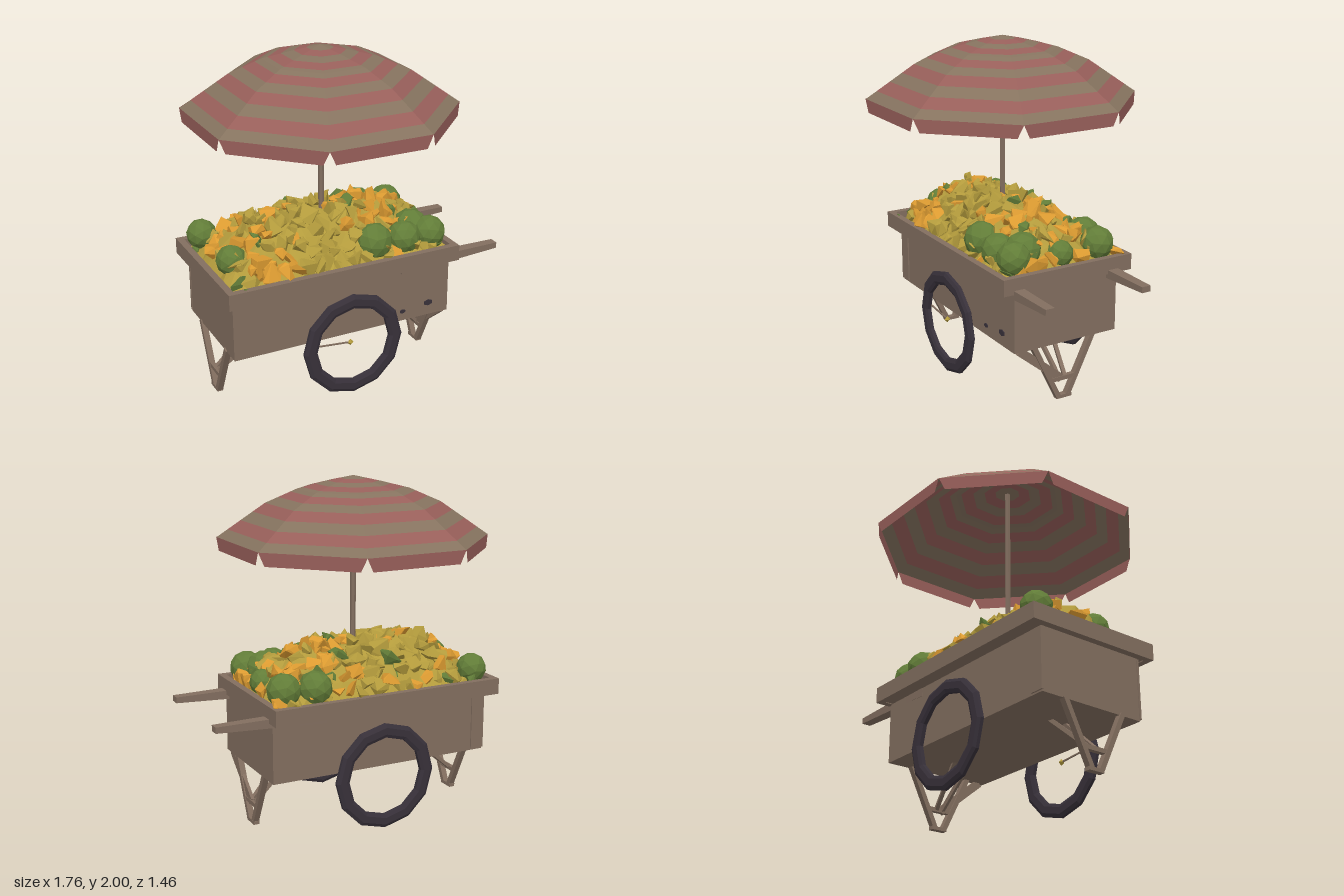
import * as THREE from 'three';
import { mergeGeometries } from 'three/addons/utils/BufferGeometryUtils.js';
import { ConvexGeometry } from 'three/addons/geometries/ConvexGeometry.js';

function paint(name, color) {
  const m = new THREE.MeshStandardMaterial({ color, flatShading: true, side: THREE.DoubleSide });
  m.name = name;
  return m;
}

export function createModel() {
  const cart = new THREE.Group();
  cart.name = 'fruitCart';
  const wood = paint('wood', 0x826e5f);
  const canvas = paint('canopyTan', 0x86735f);
  const red = paint('canopyRed', 0x985f5a);
  const rubber = paint('wheelDark', 0x38313a);
  const yellow = paint('fruitYellow', 0xb39b3c);
  const orange = paint('fruitOrange', 0xdc9b31);
  const green = paint('melonGreen', 0x627d38);

  let seed = 7;
  const rand = () => {
    seed = (seed * 16807) % 2147483647;
    return seed / 2147483647;
  };
  const range = (a, b) => a + (b - a) * rand();

  function add(name, geo, mat, x = 0, y = 0, z = 0) {
    const mesh = new THREE.Mesh(geo, mat);
    mesh.name = name;
    mesh.position.set(x, y, z);
    cart.add(mesh);
    return mesh;
  }
  // Box given by its minimum and maximum corners
  function box(name, a, b, mat = wood) {
    const s = b.map((v, i) => v - a[i]);
    return add(name, new THREE.BoxGeometry(...s), mat, ...a.map((v, i) => v + s[i] / 2));
  }
  // Square bar between two points
  function strut(name, a, b, w, d = w) {
    const p = new THREE.Vector3(...a), q = new THREE.Vector3(...b);
    const dir = q.clone().sub(p);
    const mesh = add(name, new THREE.BoxGeometry(w, dir.length(), d), wood);
    mesh.position.copy(p).lerp(q, 0.5);
    mesh.quaternion.setFromUnitVectors(new THREE.Vector3(0, 1, 0), dir.normalize());
  }

  // Body and tray
  box('body', [-0.83, 0.35, -0.35], [0.55, 0.73, 0.33]);
  box('trayFloor', [-0.87, 0.715, -0.43], [0.56, 0.745, 0.4]);
  box('trayFront', [-0.88, 0.71, 0.37], [0.57, 0.805, 0.41]);
  box('trayBack', [-0.88, 0.71, -0.44], [0.57, 0.805, -0.4]);
  box('trayRightEnd', [-0.88, 0.71, -0.4], [-0.84, 0.805, 0.37]);
  box('trayLeftEnd', [0.53, 0.71, -0.4], [0.57, 0.805, 0.37]);
  box('frontCornerPlate', [-0.835, 0.36, 0.325], [-0.75, 0.71, 0.338]);
  box('backCornerPlate', [-0.835, 0.36, -0.358], [-0.75, 0.71, -0.345]);
  for (const [x, y, r] of [[0.24, 0.41, 0.02], [0.415, 0.43, 0.03]]) {
    const spot = add('bodyHole', new THREE.CylinderGeometry(r, r, 0.006, 6), rubber, x, y, 0.332);
    spot.rotation.x = Math.PI / 2;
    spot.scale.z = 0.65;
  }

  // Handles, tapering and rising to the tip
  for (const side of [1, -1]) {
    const geo = new THREE.BoxGeometry(0.66, 0.07, 0.08);
    const p = geo.attributes.position;
    for (let i = 0; i < p.count; i++) {
      if (p.getX(i) > 0) p.setXYZ(i, p.getX(i), p.getY(i) * 0.5 + 0.014, p.getZ(i) * 0.7);
    }
    add('handle', geo, wood, 0.55, 0.7, side * 0.313);
  }

  // Splayed legs meeting in a foot under each end
  for (const [x, inner] of [[-0.82, -0.54], [0.53, 0.31]]) {
    for (const s of [1, -1]) {
      strut('leg', [x, 0.36, s * 0.2], [x, 0.01, s * 0.03], 0.035, 0.03);
      strut('legBrace', [inner, 0.36, s * 0.05], [x, 0.12, s * 0.02], 0.022);
    }
    box('legCrossbar', [x - 0.014, 0.11, -0.08], [x + 0.014, 0.135, 0.08]);
    box('foot', [x - 0.018, 0, -0.055], [x + 0.018, 0.02, 0.045]);
  }
  strut('cornerBrace', [0.53, 0.35, 0.29], [0.53, 0.12, 0.01], 0.02, 0.05);

  // Wheels, faceted rings
  const tyre = [[0.235, -0.012], [0.255, -0.021], [0.295, -0.021], [0.315, -0.01], [0.315, 0.01],
    [0.295, 0.021], [0.255, 0.021], [0.235, 0.012], [0.235, -0.012]].map(p => new THREE.Vector2(...p));
  for (const z of [0.392, -0.42]) {
    const wheel = add('wheel', new THREE.LatheGeometry(tyre, 12), rubber, -0.12, 0.315, z);
    wheel.rotation.x = Math.PI / 2;
  }
  strut('brokenSpoke', [-0.34, 0.345, 0.385], [-0.13, 0.325, 0.385], 0.008);
  add('hubNut', new THREE.OctahedronGeometry(0.02), yellow, -0.135, 0.325, 0.385);

  // Pole
  add('pole', new THREE.CylinderGeometry(0.017, 0.017, 1.24, 6), wood, -0.13, 1.36, 0);

  // Canopy: octagonal bands in alternating colours
  const profile = [[0, 2], [0.15, 1.965], [0.3, 1.925], [0.47, 1.845], [0.73, 1.65]];
  const corner = 1 / Math.cos(Math.PI / 8);
  const heightAt = r => {
    const i = Math.max(1, profile.findIndex(p => p[0] >= r));
    const [a, b] = [profile[i - 1], profile[i]];
    return a[1] + (b[1] - a[1]) * (r - a[0]) / (b[0] - a[0]);
  };
  const edges = [0.73, 0.67, 0.6, 0.535, 0.47, 0.4, 0.335, 0.27, 0.2, 0.135, 0.07, 0];
  for (let i = 0; i < edges.length - 1; i++) {
    const [outer, inner] = [edges[i], edges[i + 1]];
    const radii = [outer, ...profile.map(p => p[0]).filter(r => r > inner && r < outer), inner];
    const pts = radii.map(r => new THREE.Vector2(r * corner, heightAt(r)));
    add('canopyBand', new THREE.LatheGeometry(pts, 8, Math.PI / 8), i % 2 ? red : canvas, -0.13, 0, 0);
  }

  // Valance flaps with notches at the corners
  const half = 0.73 * Math.tan(Math.PI / 8);
  const flap = new THREE.Shape([[-half, 0.075], [-half + 0.035, 0], [half - 0.035, 0], [half, 0.075]]
    .map(p => new THREE.Vector2(...p)));
  for (let i = 0; i < 8; i++) {
    const geo = new THREE.ShapeGeometry(flap).translate(0, 1.577, 0.73).rotateY(i * Math.PI / 4);
    add('valanceFlap', geo, red, -0.13, 0, 0);
  }

  // Mound under the fruit
  const heapY = (x, z) => {
    const u = Math.min(1, Math.abs((x + 0.145) / 0.69)), v = Math.min(1, Math.abs((z + 0.015) / 0.39));
    return 0.77 + 0.27 * (1 - u ** 4) * (1 - v ** 1.7);
  };
  const mound = new THREE.PlaneGeometry(1.36, 0.76, 16, 9).rotateX(-Math.PI / 2).translate(-0.155, 0, -0.015);
  const mp = mound.attributes.position;
  for (let i = 0; i < mp.count; i++) mp.setY(i, heapY(mp.getX(i), mp.getZ(i)) + range(-0.03, 0.01));
  add('fruitMound', mound, yellow);

  // Loose angular fruit scattered over the mound
  const piles = { yellow: [], orange: [], green: [] };
  for (let ix = 0; ix < 20; ix++) {
    for (let iz = 0; iz < 11; iz++) {
      const x = -0.77 + ix * 0.0655 + range(-0.025, 0.025);
      const z = -0.35 + iz * 0.067 + range(-0.025, 0.025);
      const r = range(0.045, 0.075), pts = [];
      for (let k = 0; k < 9; k++) {
        const d = new THREE.Vector3(range(-1, 1), range(-1, 1), range(-1, 1)).normalize();
        pts.push(d.multiplyScalar(r * range(0.8, 1.15)));
      }
      const geo = new ConvexGeometry(pts).translate(x, heapY(x, z) + range(-0.02, 0.015), z);
      const middle = Math.abs(x + 0.2) < 0.27;
      const pick = rand();
      piles[pick < 0.05 ? 'green' : pick < (middle ? 0.27 : 0.52) ? 'orange' : 'yellow'].push(geo);
    }
  }
  add('yellowFruit', mergeGeometries(piles.yellow), yellow);
  add('orangeFruit', mergeGeometries(piles.orange), orange);
  add('greenFruit', mergeGeometries(piles.green), green);

  // Melons along the tray edges
  const melons = [[0.08, 0.26, 0.11], [0.27, 0.27, 0.1], [0.44, 0.27, 0.1], [0.37, 0.17, 0.11], [0.46, -0.02, 0.08],
    [0.45, -0.28, 0.1], [0.27, -0.31, 0.1], [-0.76, -0.32, 0.09], [-0.74, 0.1, 0.09]];
  for (const [x, z, r] of melons) {
    const melon = add('melon', new THREE.IcosahedronGeometry(r, 1), green, x, 0.79 + r * 0.75, z);
    melon.rotation.set(range(0, 3), range(0, 3), 0);
  }
  return cart;
}
